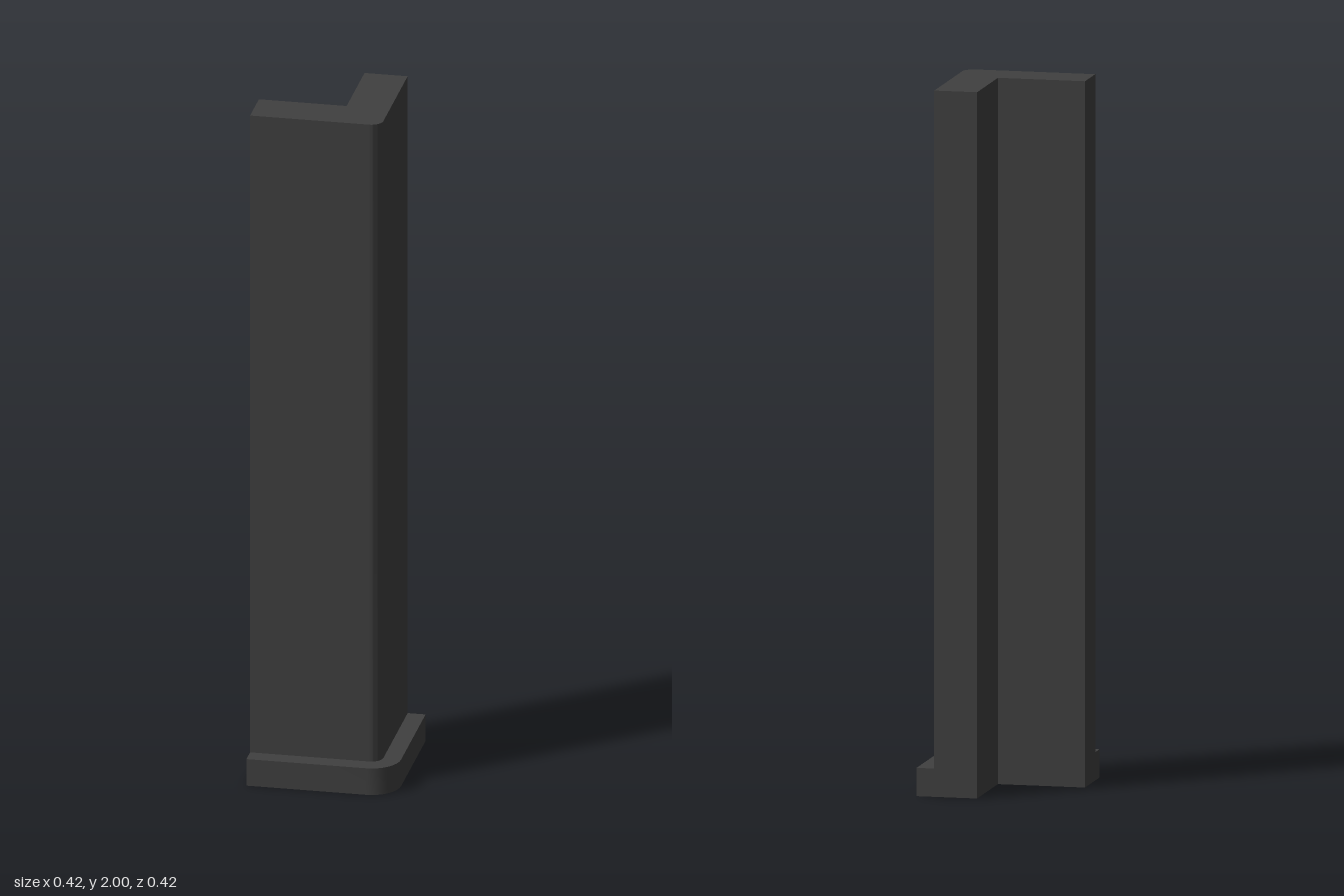
import * as THREE from 'three';
import { toCreasedNormals } from 'three/addons/utils/BufferGeometryUtils.js';

const END = -0.212; // cut ends of both legs
const INNER = 0.038; // inside corner

// L-shaped plan with a rounded outside corner, extruded upwards
function cornerPrism(name, outer, radius, bottom, top, segments, material) {
  const plan = new THREE.Shape();
  plan.moveTo(END, -outer);
  plan.lineTo(outer - radius, -outer);
  plan.absarc(outer - radius, radius - outer, radius, -Math.PI / 2, 0, false);
  plan.lineTo(outer, -END);
  plan.lineTo(INNER, -END);
  plan.lineTo(INNER, -INNER);
  plan.lineTo(END, -INNER);
  plan.closePath();

  const geometry = new THREE.ExtrudeGeometry(plan, {
    depth: top - bottom,
    bevelEnabled: false,
    curveSegments: segments,
  });
  geometry.rotateX(-Math.PI / 2);
  geometry.translate(0, bottom, 0);

  const mesh = new THREE.Mesh(toCreasedNormals(geometry, 0.6), material);
  mesh.name = name;
  return mesh;
}

export function createModel() {
  const group = new THREE.Group();
  group.name = 'wallCorner';
  const material = new THREE.MeshStandardMaterial({ color: 0x404040 });

  // Skirting at the foot, then the tall wall above it
  group.add(cornerPrism('skirting', 0.212, 0.083, 0, 0.08, 4, material));
  group.add(cornerPrism('wall', 0.161, 0.034, 0.08, 2, 8, material));
  return group;
}
